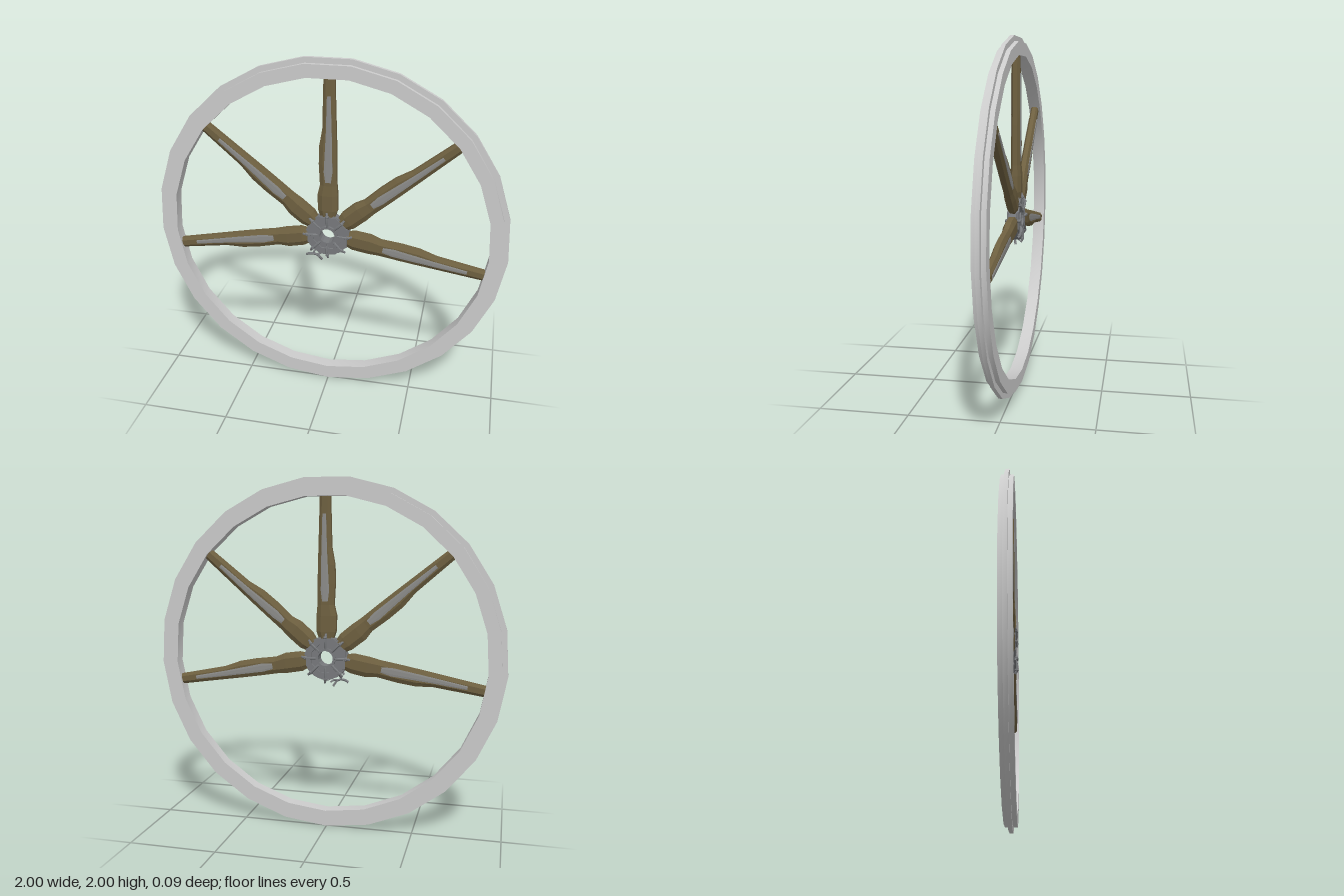
import * as THREE from 'three';
import { toCreasedNormals } from 'three/addons/utils/BufferGeometryUtils.js';

const CENTER_Y = 1;
const mat = (color, flatShading = false) => new THREE.MeshStandardMaterial({ color, flatShading });
const grey = mat(0xcccccc);
const iron = mat(0x77797c, true);
const wood = mat(0x6e6040, true);
const inlay = mat(0x8c8c8a, true);

function add(parent, name, geometry, material) {
  const mesh = new THREE.Mesh(geometry, material);
  mesh.name = name;
  parent.add(mesh);
  return mesh;
}

// Flat ring centred on z = 0
function ringPlate(inner, outer, depth, sides) {
  const polygon = (r) => Array.from({ length: sides }, (_, i) => {
    const a = ((i + 0.5) / sides) * Math.PI * 2;
    return new THREE.Vector2(r * Math.cos(a), r * Math.sin(a));
  });
  const shape = new THREE.Shape(polygon(outer));
  shape.holes.push(new THREE.Path(polygon(inner)));
  return new THREE.ExtrudeGeometry(shape, { depth, bevelEnabled: false }).translate(0, 0, -depth / 2);
}

// Loft of chamfered rectangles along +y; station: [y, xMin, xMax, half depth]
function loft(stations) {
  const pos = [], idx = [], n = 8;
  const corner = [[1, -0.5], [1, 0.5], [0.5, 1], [-0.5, 1], [-1, 0.5], [-1, -0.5], [-0.5, -1], [0.5, -1]];
  for (const [y, x0, x1, d] of stations) {
    for (const [cx, cz] of corner) pos.push((x0 + x1) / 2 + (cx * (x1 - x0)) / 2, y, cz * d);
  }
  for (let s = 0; s < stations.length - 1; s++) {
    for (let i = 0; i < n; i++) {
      const a = s * n + i, b = s * n + ((i + 1) % n);
      idx.push(a, a + n, b, b, a + n, b + n);
    }
  }
  const last = (stations.length - 1) * n;
  for (let i = 1; i < n - 1; i++) {
    idx.push(0, i, i + 1);
    idx.push(last, last + i + 1, last + i);
  }
  const g = new THREE.BufferGeometry();
  g.setAttribute('position', new THREE.Float32BufferAttribute(pos, 3));
  g.setIndex(idx);
  g.computeVertexNormals();
  return g;
}

// Bent iron rod through points
function rod(points, radius) {
  const curve = new THREE.CatmullRomCurve3(points.map((p) => new THREE.Vector3(...p)));
  return new THREE.TubeGeometry(curve, 8, radius, 6, false);
}

function makeRim() {
  // Stepped section with a narrow ridge around the outside
  const section = [
    [0.9, -0.035], [0.972, -0.035], [0.972, -0.011], [1.002, -0.011],
    [1.002, 0.011], [0.972, 0.011], [0.972, 0.035], [0.9, 0.035], [0.9, -0.035],
  ].map(([x, y]) => new THREE.Vector2(x, y));
  const g = new THREE.LatheGeometry(section, 25).rotateX(Math.PI / 2);
  return toCreasedNormals(g, 0.5);
}

function makeSpoke() {
  const spoke = new THREE.Group();
  spoke.name = 'spoke';
  add(spoke, 'spokeBeam', loft([
    [0.09, -0.035, 0.035, 0.024],
    [0.15, -0.055, 0.055, 0.03],
    [0.24, -0.058, 0.055, 0.03],
    [0.3, -0.044, 0.05, 0.026],
    [0.42, -0.05, 0.049, 0.026],
    [0.52, -0.048, 0.047, 0.025],
    [0.62, -0.03, 0.044, 0.024],
    [0.9, -0.023, 0.036, 0.022],
  ]), wood);
  // Tapered inlay strips on both faces
  for (const side of [1, -1]) {
    const strip = add(spoke, 'spokeInlay', loft([
      [0.32, -0.012, 0.02, 0.003],
      [0.38, -0.02, 0.028, 0.003],
      [0.6, -0.008, 0.024, 0.003],
      [0.8, -0.002, 0.018, 0.003],
    ]), inlay);
    strip.position.z = side * 0.0245;
  }
  return spoke;
}

function makeHub() {
  const hub = new THREE.Group();
  hub.name = 'hub';
  add(hub, 'hubCore', ringPlate(0.047, 0.125, 0.044, 16), iron);
  add(hub, 'hubBore', ringPlate(0.043, 0.058, 0.07, 16), iron);
  add(hub, 'hubBand', ringPlate(0.086, 0.122, 0.064, 8), iron);
  // Radial clamps with bolt heads on both faces
  for (let i = 0; i < 8; i++) {
    const clamp = new THREE.Group();
    clamp.name = 'hubClamp';
    clamp.rotation.z = (i / 8) * Math.PI * 2;
    for (const side of [1, -1]) {
      add(clamp, 'clampArm', rod([
        [0.052, 0, side * 0.03], [0.085, 0, side * 0.036],
        [0.118, 0, side * 0.036], [0.14, 0.004, side * 0.026],
      ], 0.007), iron);
      add(clamp, 'clampBolt', new THREE.IcosahedronGeometry(0.012, 0), iron)
        .position.set(0.118, 0, side * 0.034);
    }
    hub.add(clamp);
  }
  return hub;
}

export function createModel() {
  const wheel = new THREE.Group();
  wheel.name = 'brokenWheel';
  const body = new THREE.Group();
  body.name = 'wheelBody';
  body.position.y = CENTER_Y;
  wheel.add(body);

  add(body, 'rim', makeRim(), grey);
  body.add(makeHub());

  // Five remaining spokes, the lower two missing
  for (let i = -2; i <= 2; i++) {
    const spoke = makeSpoke();
    spoke.rotation.z = THREE.MathUtils.degToRad(i * 50);
    body.add(spoke);
  }

  // Bent iron fragment hanging under the hub
  const fragment = new THREE.Group();
  fragment.name = 'brokenClamp';
  add(fragment, 'fragmentBar', rod([[-0.125, -0.14, 0.01], [-0.1, -0.128, 0.02], [-0.06, -0.132, 0.02], [-0.035, -0.165, 0.01]], 0.007), iron);
  add(fragment, 'fragmentStem', rod([[-0.07, -0.1, 0.012], [-0.08, -0.118, 0.02], [-0.075, -0.132, 0.02]], 0.006), iron);
  add(fragment, 'fragmentHook', rod([[-0.06, -0.132, 0.02], [-0.04, -0.128, 0], [-0.025, -0.138, -0.02]], 0.006), iron);
  body.add(fragment);

  return wheel;
}
